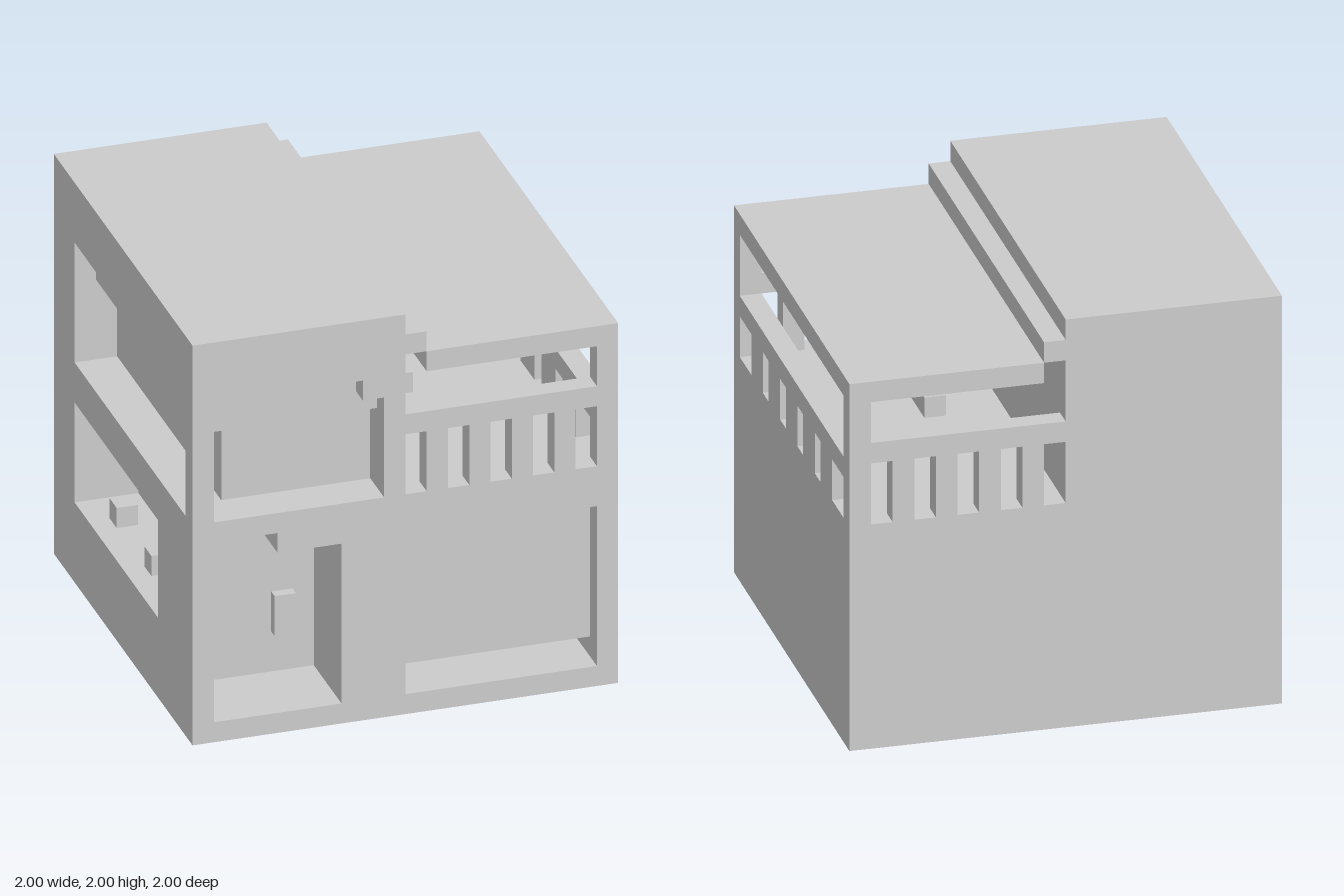
import * as THREE from 'three';

const material = new THREE.MeshStandardMaterial({ color: 0xcccccc, flatShading: true });
const T = 0.1; // wall thickness

export function createModel() {
  const model = new THREE.Group();
  model.name = 'house';

  function add(name, geometry) {
    const mesh = new THREE.Mesh(geometry, material);
    mesh.name = name;
    model.add(mesh);
    return mesh;
  }

  // Block given by its extents
  function block(name, x0, x1, y0, y1, z0, z1) {
    add(name, new THREE.BoxGeometry(x1 - x0, y1 - y0, z1 - z0))
      .position.set((x0 + x1) / 2, (y0 + y1) / 2, (z0 + z1) / 2);
  }

  const points = (list) => list.map(([a, b]) => new THREE.Vector2(a, b));
  const rect = (a0, a1, b0, b1) => [[a0, b0], [a1, b0], [a1, b1], [a0, b1]];

  // Flat wall with openings
  function wall(name, outline, holes) {
    const shape = new THREE.Shape(points(outline));
    shape.holes = holes.map((h) => new THREE.Path(points(h)));
    return add(name, new THREE.ExtrudeGeometry(shape, { depth: T, bevelEnabled: false }));
  }

  // Front and back walls share an outline and a row of slit windows
  const gable = [[-1, 0], [1, 0], [1, 1.7], [0.9, 1.7], [0.9, 1.5], [0, 1.5], [0, 2], [-1, 2]];
  const slits = [0, 0.2, 0.4, 0.6, 0.8].map((x) => rect(x, x + 0.1, 1.1, 1.4));
  const doorway = [[-0.9, 0.1], [-0.3, 0.1], [-0.3, 0.9], [-0.6, 0.9], [-0.6, 1], [-0.9, 1]];
  const garageOpening = rect(0, 0.9, 0.1, 0.9);
  const balconyOpening = [[-0.9, 1.1], [-0.1, 1.1], [-0.1, 1.6], [-0.2, 1.6],
    [-0.2, 1.7], [-0.8, 1.7], [-0.8, 1.6], [-0.9, 1.6]];
  wall('frontWall', gable, [...slits, doorway, garageOpening, balconyOpening]).position.z = 0.9;
  wall('backWall', gable, slits).position.z = -1;

  // Side walls, drawn as (z, y) and turned
  const rightSideOutline = [[-0.9, 0], [0.9, 0], [0.9, 1.1], [-0.7, 1.1], [-0.7, 1.7],
    [0.8, 1.7], [0.8, 1.6], [0.9, 1.6], [0.9, 2], [-0.9, 2]];
  const rightWall = wall('rightWall', rightSideOutline, [rect(-0.7, 0.5, 0.4, 0.9)]);
  rightWall.rotation.y = -Math.PI / 2;
  rightWall.position.x = -0.9;

  const leftSideOutline = [[-0.9, 0], [0.9, 0], [0.9, 1.1], [0.7, 1.1], [0.7, 1.3], [0.9, 1.3], [0.9, 1.4],
    [-0.9, 1.4], [-0.9, 1.3], [-0.7, 1.3], [-0.7, 1.1], [-0.9, 1.1]];
  const sideSlits = [-0.5, -0.2, 0.1, 0.4].map((z) => rect(z, z + 0.1, 1.1, 1.3));
  const leftWall = wall('leftWall', leftSideOutline, sideSlits);
  leftWall.rotation.y = -Math.PI / 2;
  leftWall.position.x = 1;

  // Floors
  block('groundFloor', -0.9, 0.9, 0, 0.1, -0.9, 0.9);
  block('upperFloor', -0.9, 0.9, 1, 1.1, -0.9, 0.9);

  // Stepped roofs
  block('highRoof', -0.9, 0, 1.5, 2, -0.9, 0.9);
  block('roofStep', 0, 0.1, 1.8, 1.9, -1, 1);
  block('lowRoof', 0.1, 1, 1.7, 1.8, -1, 1);

  // Entrance
  block('entranceDoor', -0.9, -0.3, 0.1, 1, 0.5, 0.6);
  block('doorHandle', -0.5, -0.4, 0.3, 0.5, 0.6, 0.65);
  block('entranceLintel', -0.6, -0.3, 0.9, 1, 0.6, 0.9);
  block('centrePier', -0.3, 0, 0.1, 1, -0.9, 0.9);

  // Garage with its door slightly raised
  block('garageDoor', 0, 0.9, 0.2, 0.9, 0.8, 0.9);
  block('garageLintel', 0, 0.9, 0.9, 1, 0.5, 0.9);
  block('garageBack', 0, 0.9, 0.1, 1, -0.9, 0.5);

  // Side niche with a stepped end and two small pots
  block('nicheBack', -0.7, -0.3, 0.1, 1, -0.9, 0.5);
  block('nicheCounter', -0.9, -0.7, 0.1, 0.4, -0.9, 0.5);
  block('nicheCeiling', -0.9, -0.7, 0.8, 1, -0.9, 0.5);
  block('nicheEnd', -0.9, -0.7, 0.4, 0.8, -0.9, -0.7);
  block('nicheStepInner', -0.8, -0.7, 0.4, 0.8, 0.3, 0.5);
  block('nicheStepOuter', -0.9, -0.8, 0.4, 0.8, 0.4, 0.5);
  for (const z of [-0.5, 0]) block('pot', -0.9, -0.8, 0.4, 0.5, z, z + 0.1);

  // Upper room behind the wrap-around balcony
  block('upperRoom', -0.8, 0, 1.1, 1.5, -0.9, 0.8);
  block('balconyFrontEnd', -0.1, 0, 1.1, 1.5, 0.8, 0.9);
  block('balconyBackEnd', -0.9, -0.8, 1.1, 1.5, -0.9, -0.7);

  // Fittings in the open room: hanging lamp and wall unit
  block('lampBar', 0.5, 0.6, 1.5, 1.6, -0.8, 0.4);
  for (const z of [-0.7, 0.2]) block('lampHanger', 0.5, 0.6, 1.6, 1.7, z, z + 0.1);
  block('wallUnit', 0, 0.1, 1.5, 1.6, 0.5, 0.8);

  return model;
}
